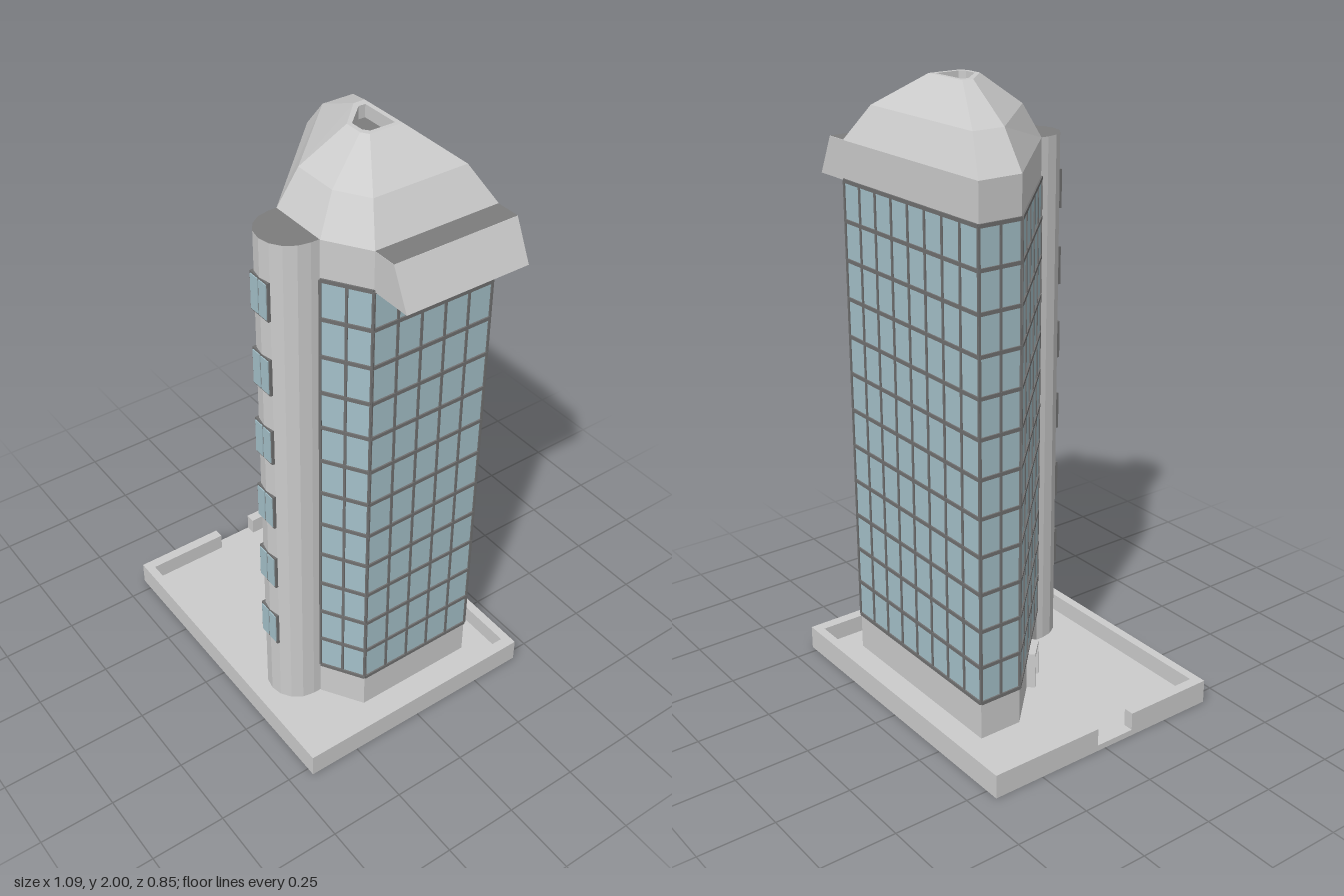
import * as THREE from 'three';

const mat = (color, extra = {}) => new THREE.MeshStandardMaterial({ color, flatShading: true, ...extra });

// plan outlines as [x, z], clockwise seen from above, starting at the back left corner
const PLAN = [[-0.297, -0.297], [0.4, -0.297], [0.4, 0.127], [0.27, 0.21], [0.066, 0.21], [-0.297, -0.147]];
const SHOULDER = [[-0.19, -0.237], [0.33, -0.237], [0.33, 0.083], [0.232, 0.144], [0.077, 0.144], [-0.19, -0.127]];
const SUMMIT = [[0.022, -0.118], [0.193, -0.118], [0.193, -0.007], [0.17, 0.008], [0.11, 0.008], [0.022, -0.08]];
const WELL = [[0.045, -0.103], [0.178, -0.103], [0.178, -0.02], [0.16, -0.006], [0.115, -0.006], [0.045, -0.08]];

const FLOOR = 0.02, GLASS_Y = 0.15, CROWN_Y = 1.665, EAVES = 1.79, ROWS = 12;

export function createModel() {
  const model = new THREE.Group();
  const grey = mat(0xcccccc);
  const dark = mat(0x7c7c7c);
  const glass = mat(0xa4c0c9);
  const frame = mat(0x707070);

  const add = (name, geometry, material, parent = model) => {
    const mesh = new THREE.Mesh(geometry, material);
    mesh.name = name;
    parent.add(mesh);
    return mesh;
  };
  // box given by its minimum and maximum corners
  const block = (name, [x0, y0, z0], [x1, y1, z1], material = grey, parent = model) => {
    const mesh = add(name, new THREE.BoxGeometry(x1 - x0, y1 - y0, z1 - z0), material, parent);
    mesh.position.set((x0 + x1) / 2, (y0 + y1) / 2, (z0 + z1) / 2);
    return mesh;
  };
  const toPoints = (ring) => ring.map(([x, z]) => new THREE.Vector2(x, -z));
  // upright prism over a plan outline
  const prism = (name, ring, y0, y1, material) => {
    const geometry = new THREE.ExtrudeGeometry(new THREE.Shape(toPoints(ring)), { depth: y1 - y0, bevelEnabled: false });
    geometry.rotateX(-Math.PI / 2);
    return add(name, geometry.translate(0, y0, 0), material);
  };
  // band of quads between two outlines at different heights
  const band = (name, ringA, yA, ringB, yB) => {
    const v = [];
    ringA.forEach((_, i) => {
      const j = (i + 1) % ringA.length;
      const a = [ringA[i][0], yA, ringA[i][1]], a2 = [ringA[j][0], yA, ringA[j][1]];
      const b = [ringB[i][0], yB, ringB[i][1]], b2 = [ringB[j][0], yB, ringB[j][1]];
      v.push(...a, ...b, ...b2, ...a, ...b2, ...a2);
    });
    const geometry = new THREE.BufferGeometry();
    geometry.setAttribute('position', new THREE.Float32BufferAttribute(v, 3));
    geometry.computeVertexNormals();
    return add(name, geometry, grey);
  };
  // flat horizontal surface, optionally with a hole
  const deck = (name, ring, y, material, hole) => {
    const shape = new THREE.Shape(toPoints(ring));
    if (hole) shape.holes.push(new THREE.Path(toPoints(hole)));
    return add(name, new THREE.ShapeGeometry(shape).rotateX(-Math.PI / 2).translate(0, y, 0), material);
  };

  // plot with a low wall and a gateway on one side
  block('plotFloor', [-0.545, 0, -0.425], [0.527, FLOOR, 0.425]);
  block('plotWallBack', [-0.545, FLOOR, -0.425], [0.527, 0.08, -0.395]);
  block('plotWallFront', [-0.545, FLOOR, 0.395], [0.527, 0.08, 0.425]);
  block('plotWallLeft', [0.49, FLOOR, -0.395], [0.527, 0.08, 0.395]);
  block('plotWallRightRear', [-0.545, FLOOR, -0.395], [-0.51, 0.08, -0.03]);
  block('plotWallRightFore', [-0.545, FLOOR, 0.11], [-0.51, 0.08, 0.395]);

  // tower body
  prism('groundStorey', PLAN, FLOOR, GLASS_Y, grey);
  prism('glassBody', PLAN, GLASS_Y, CROWN_Y, glass);
  prism('crown', PLAN, CROWN_Y, EAVES, grey);

  // window grid on every facade except the one behind the stair tower
  const columns = [8, 5, 2, 0, 5, 2];
  PLAN.forEach(([x0, z0], i) => {
    if (!columns[i]) return;
    const [x1, z1] = PLAN[(i + 1) % PLAN.length];
    const length = Math.hypot(x1 - x0, z1 - z0);
    const grid = new THREE.Group();
    grid.name = 'windowGrid';
    grid.position.set((x0 + x1) / 2, 0, (z0 + z1) / 2);
    grid.rotation.y = Math.atan2(z1 - z0, x0 - x1);
    model.add(grid);
    for (let r = 0; r <= ROWS; r++) {
      const y = GLASS_Y + (CROWN_Y - GLASS_Y) * r / ROWS;
      block('transom', [-length / 2, y - 0.006, -0.005], [length / 2, y + 0.006, 0.005], frame, grid);
    }
    for (let c = 0; c <= columns[i]; c++) {
      const x = -length / 2 + length * c / columns[i];
      block('mullion', [x - 0.004, GLASS_Y, -0.004], [x + 0.004, CROWN_Y, 0.004], frame, grid);
    }
  });

  // faceted roof with a sunken well at the summit
  band('lowerRoof', PLAN, EAVES, SHOULDER, 1.9);
  band('upperRoof', SHOULDER, 1.9, SUMMIT, 2);
  deck('roofRim', SUMMIT, 2, grey, WELL);
  band('wellSides', WELL, 2, WELL, 1.96);
  deck('wellFloor', WELL, 1.96, dark);

  // sloping canopy along one side of the crown
  const canopyProfile = new THREE.Shape([[0.4, CROWN_Y], [0.54, CROWN_Y], [0.48, EAVES], [0.4, EAVES]]
    .map(([x, y]) => new THREE.Vector2(x, y)));
  add('sideCanopy', new THREE.ExtrudeGeometry(canopyProfile, { depth: 0.422, bevelEnabled: false })
    .translate(0, 0, -0.295), grey);
  deck('canopyTop', [[0.4, -0.295], [0.48, -0.295], [0.48, 0.127], [0.4, 0.127]], EAVES + 0.001, dark);

  // rounded stair tower
  const stair = [[0.066, 0.205], [0.267, 0.205]];
  for (let k = 0; k <= 8; k++) {
    const t = Math.PI * k / 8;
    stair.push([0.1665 + 0.1005 * Math.cos(t), 0.237 + 0.1005 * Math.sin(t)]);
  }
  prism('stairTower', stair, FLOOR, EAVES, [dark, grey]);

  // paired windows up the stair tower
  for (let k = 0; k < 6; k++) {
    const y = 0.27 + 0.254 * k;
    block('stairWindowFrame', [0.12, y, 0.3], [0.206, y + 0.126, 0.338], frame);
    for (const x of [0.125, 0.166]) {
      block('stairWindowPane', [x, y + 0.006, 0.31], [x + 0.035, y + 0.12, 0.341], glass);
    }
  }

  // entrance porch on the diagonal facade
  const porch = new THREE.Group();
  porch.name = 'entrancePorch';
  porch.position.set(-0.117, 0, 0.031);
  porch.rotation.y = -Math.PI / 4;
  model.add(porch);
  block('porchRoof', [-0.048, 0.133, -0.01], [0.048, 0.146, 0.028], grey, porch);
  for (const x of [-0.048, 0.038]) {
    block('porchSide', [x, FLOOR, -0.01], [x + 0.01, 0.133, 0.028], grey, porch);
  }
  block('doorFrame', [-0.03, FLOOR, -0.01], [0.03, 0.125, 0.004], frame, porch);
  block('door', [-0.025, FLOOR, -0.01], [0.025, 0.12, 0.006], grey, porch);

  return model;
}
